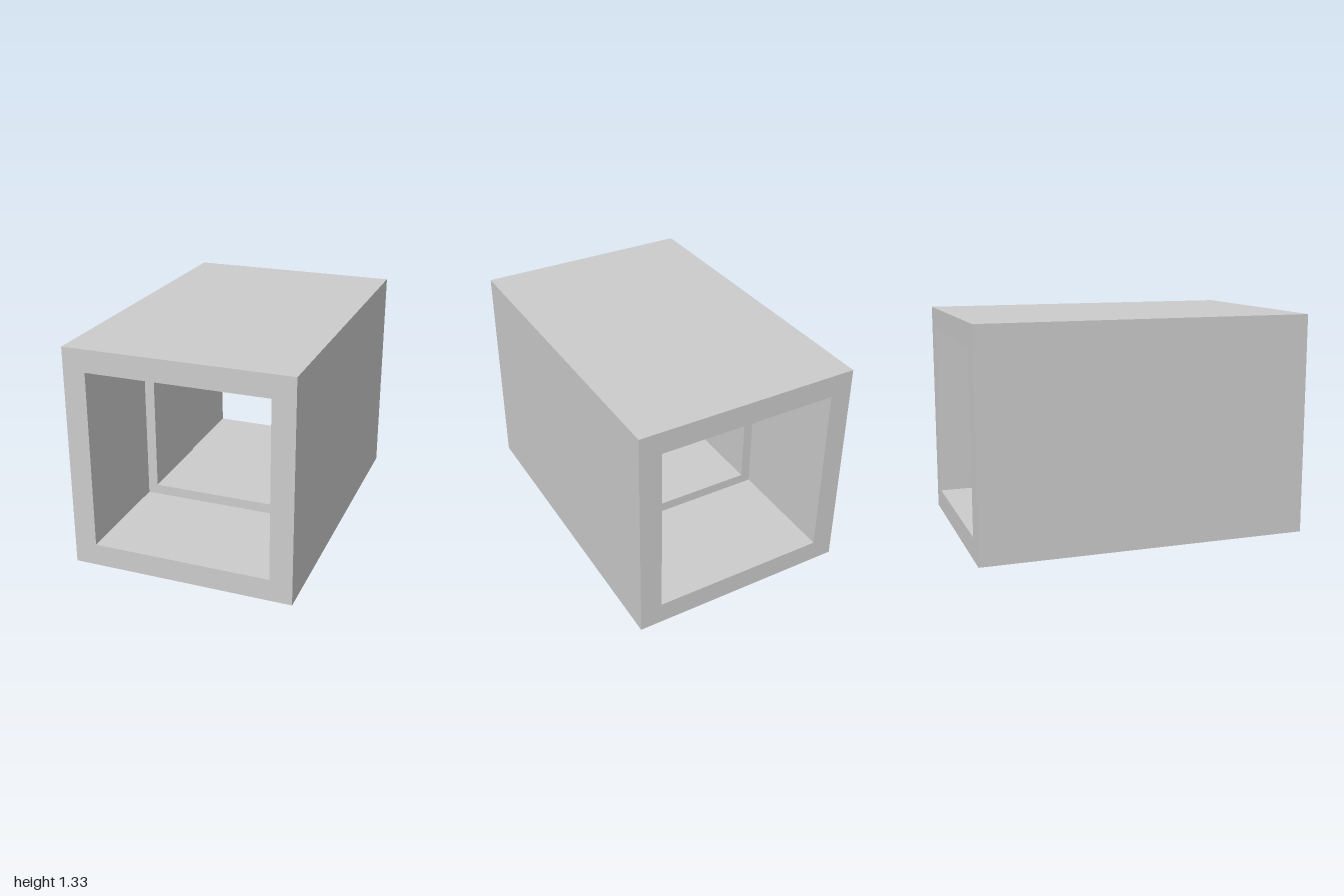
import * as THREE from 'three';

// Half-widths of the square sections and half-lengths along z
const OUTER = 0.6667, MOUTH = 0.5333, THROAT = 0.472;
const END = 1, STEP = 0.287;

export function createModel() {
  const group = new THREE.Group();
  group.name = 'squareDuct';

  // Closed wall profile (half-width, z): outer wall, front rim, stepped bore, back rim
  const profile = [
    [OUTER, -END], [OUTER, END], [MOUTH, END], [MOUTH, STEP], [THROAT, STEP],
    [THROAT, -STEP], [MOUTH, -STEP], [MOUTH, -END], [OUTER, -END],
  ].map(([half, z]) => new THREE.Vector2(half * Math.SQRT2, z));

  // A four-sided lathe turned 45 degrees gives the square tube
  const geometry = new THREE.LatheGeometry(profile, 4, Math.PI / 4)
    .rotateX(Math.PI / 2)
    .translate(0, OUTER, 0)
    .toNonIndexed();
  geometry.computeVertexNormals();

  const material = new THREE.MeshStandardMaterial({ color: 0xcccccc, flatShading: true });
  const body = new THREE.Mesh(geometry, material);
  body.name = 'ductBody';
  group.add(body);
  return group;
}
